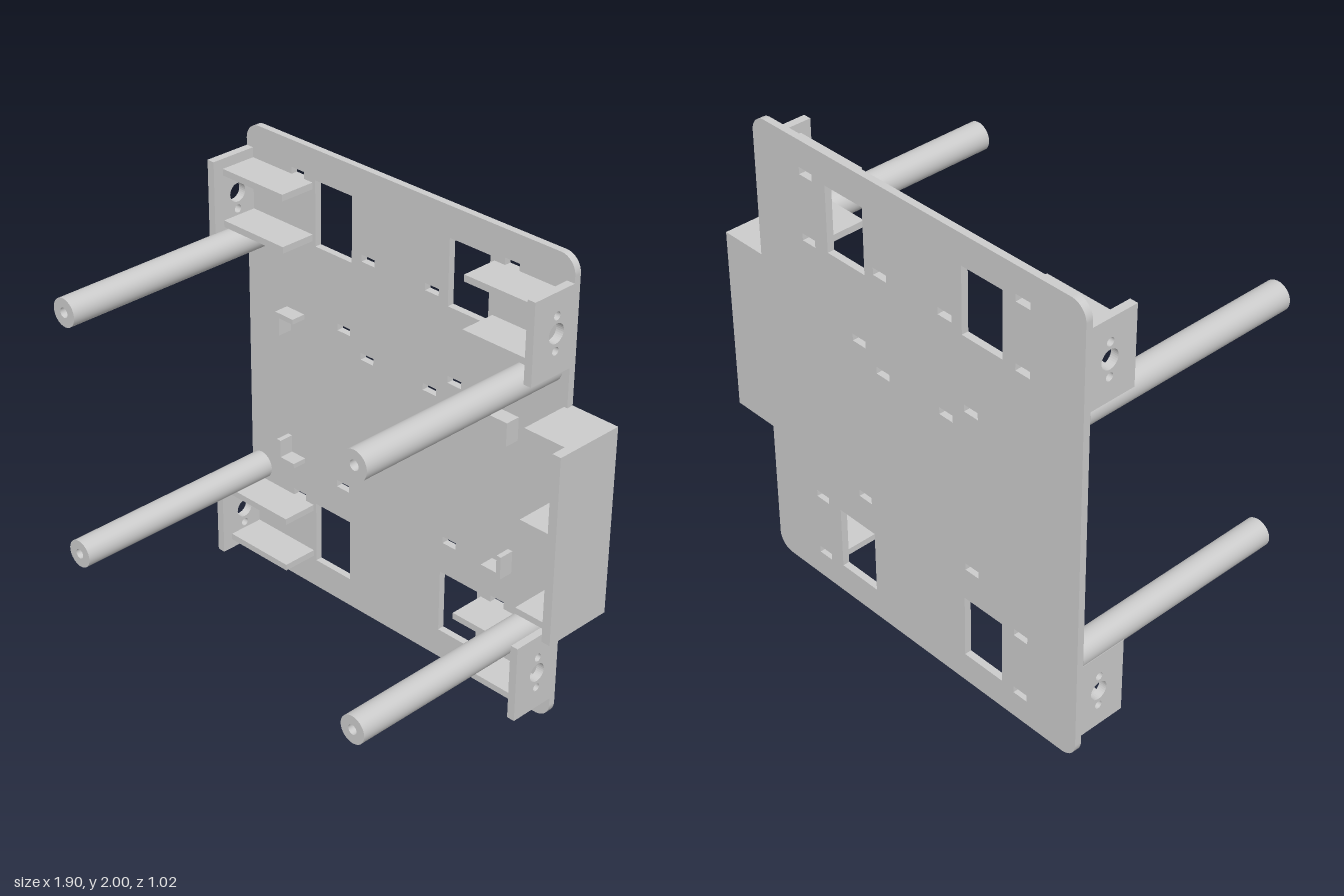
import * as THREE from 'three';

const material = new THREE.MeshStandardMaterial({ color: 0xcccccc });
const BACK = -0.51, FACE = -0.48, FRONT = 0.51;

export function createModel() {
  const model = new THREE.Group();

  const add = (name, geometry) => {
    const mesh = new THREE.Mesh(geometry, material);
    mesh.name = name;
    model.add(mesh);
    return mesh;
  };
  // Box given by its limits on each axis
  const box = (name, x0, x1, y0, y1, z0, z1) =>
    add(name, new THREE.BoxGeometry(x1 - x0, y1 - y0, z1 - z0))
      .position.set((x0 + x1) / 2, (y0 + y1) / 2, (z0 + z1) / 2);

  const rectangle = (path, x0, x1, y0, y1) => {
    path.moveTo(x0, y0).lineTo(x1, y0).lineTo(x1, y1).lineTo(x0, y1).closePath();
    return path;
  };
  const extrude = (shape, depth) =>
    new THREE.ExtrudeGeometry(shape, { depth, bevelEnabled: false, curveSegments: 16 });

  // Base plate with rounded corners
  const L = -0.95, R = 0.735, r = 0.07;
  const plate = new THREE.Shape();
  plate.moveTo(L + r, 0).lineTo(R - r, 0);
  plate.absarc(R - r, r, r, -Math.PI / 2, 0);
  plate.absarc(R - r, 2 - r, r, 0, Math.PI / 2);
  plate.absarc(L + r, 2 - r, r, Math.PI / 2, Math.PI);
  plate.absarc(L + r, r, r, Math.PI, Math.PI * 1.5);

  // Four windows
  for (const x of [-0.565, 0.14])
    for (const y of [0.13, 1.592])
      plate.holes.push(rectangle(new THREE.Path(), x, x + 0.2, y, y + 0.28));

  // Tie slots, by row height and column centres
  const slotRows = [
    [0.13, -0.662, 0.445], [0.413, -0.662, 0.445], [0.565, -0.407, 0.185],
    [1.205, -0.278, 0.058], [1.286, -0.407, 0.185], [1.631, -0.278, 0.058],
    [1.595, -0.662, 0.445], [1.872, -0.662, 0.445],
  ];
  for (const [y, ...columns] of slotRows)
    for (const x of columns)
      plate.holes.push(rectangle(new THREE.Path(), x - 0.035, x + 0.035, y - 0.015, y + 0.015));
  add('basePlate', extrude(plate, FACE - BACK)).position.z = BACK;

  // Motor mounts: a drilled side cheek and two rails at each corner
  const cheek = (x, y0, y1, yHole) => {
    // Shape x runs forward along z from the back of the plate
    const shape = rectangle(new THREE.Shape(), 0, 0.237, y0, y1);
    for (const [dy, radius] of [[0, 0.04], [0.07, 0.017], [-0.07, 0.017]])
      shape.holes.push(new THREE.Path().absarc(0.115, yHole + dy, radius, 0, Math.PI * 2, true));
    const mesh = add('motorCheek', extrude(shape, 0.035));
    mesh.rotation.y = -Math.PI / 2;
    mesh.position.set(x + 0.035, 0, BACK);
  };
  for (const x of [L, R - 0.035]) {
    cheek(x, 0.103, 0.44, 0.27);
    cheek(x, 1.565, 1.9, 1.735);
  }
  for (const [x0, x1] of [[-0.915, -0.58], [0.36, 0.7]])
    for (const y of [0.145, 0.37, 1.61, 1.83])
      box('motorRail', x0, x1, y, y + 0.028, FACE, -0.32);

  // Hollow standoff posts
  const profile = [[0.021, 0], [0.06, 0], [0.06, FRONT - FACE], [0.021, FRONT - FACE], [0.021, 0]];
  const wall = profile.slice(0, -1).map((p, i) =>
    new THREE.LatheGeometry([p, profile[i + 1]].map(q => new THREE.Vector2(...q)), 40));
  for (const [x, y] of [[-0.893, 1.54], [0.643, 1.54], [-0.893, 0.463], [0.643, 0.433]]) {
    const post = new THREE.Group();
    post.name = 'standoffPost';
    for (const geometry of wall) post.add(new THREE.Mesh(geometry, material));
    post.rotation.x = Math.PI / 2;
    post.position.set(x, y, FACE);
    model.add(post);
  }

  // L-shaped locating corners in the middle of the plate
  for (const [x, sx] of [[-0.73, 1], [0.51, -1]])
    for (const [y, sy] of [[0.58, 1], [1.27, -1]]) {
      const corner = new THREE.Shape([[0, 0], [0.1, 0], [0.1, 0.022], [0.022, 0.022], [0.022, 0.1], [0, 0.1]]
        .map(([a, b]) => new THREE.Vector2(x + sx * a, y + sy * b)));
      add('locatingCorner', extrude(corner, 0.065)).position.z = FACE;
    }

  // Side tray: back, outer wall and three ribs
  box('trayBack', R, 0.91, 0.6, 1.4, BACK, FACE);
  box('trayWall', 0.908, 0.947, 0.6, 1.4, BACK, -0.2);
  for (const y of [0.6, 0.987, 1.372]) box('trayRib', 0.72, 0.908, y, y + 0.028, FACE, -0.265);

  return model;
}
